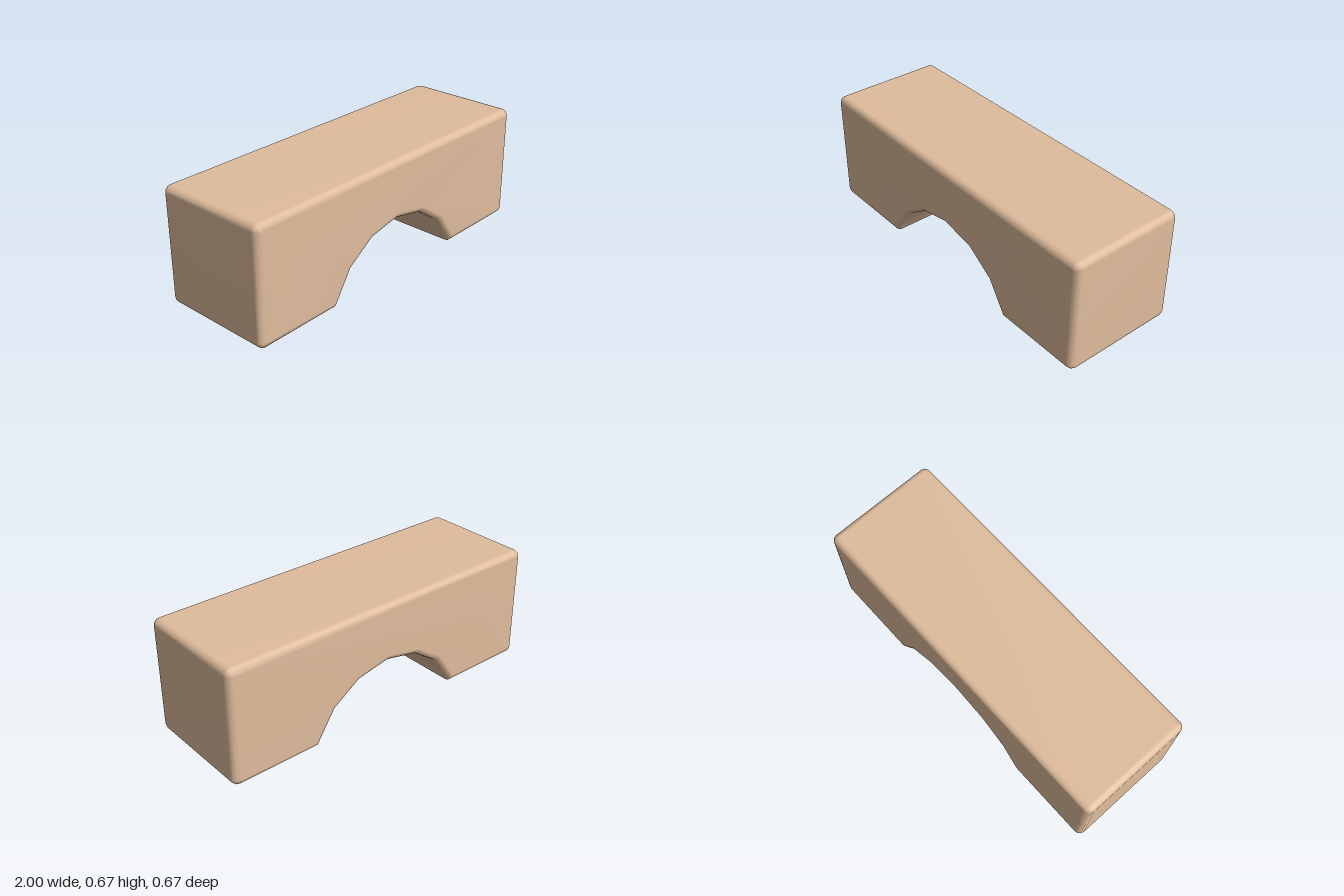
import * as THREE from 'three';

const WIDTH = 2, HEIGHT = 0.667, DEPTH = 0.667, BEVEL = 0.035, RADIUS = 0.037;

// Smooth normals weighted by face area, with edges sharper than the limit kept hard
function smoothByAngle(source, limit) {
  const geometry = source.toNonIndexed();
  const pos = geometry.attributes.position;
  const corners = new Map(), faces = [], normals = [];
  const p = [0, 1, 2].map(() => new THREE.Vector3());
  const key = (i) => [pos.getX(i), pos.getY(i), pos.getZ(i)].map((v) => Math.round(v * 1e4)).join();
  for (let i = 0; i < pos.count; i += 3) {
    p.forEach((v, k) => v.fromBufferAttribute(pos, i + k));
    const area = p[1].clone().sub(p[0]).cross(p[2].clone().sub(p[0]));
    const face = { area, dir: area.clone().normalize() };
    faces.push(face);
    for (let k = 0; k < 3; k++) {
      const id = key(i + k);
      if (!corners.has(id)) corners.set(id, []);
      corners.get(id).push(face);
    }
  }
  for (let i = 0; i < pos.count; i++) {
    const own = faces[Math.floor(i / 3)], n = new THREE.Vector3();
    for (const f of corners.get(key(i))) if (f.dir.dot(own.dir) > Math.cos(limit)) n.add(f.area);
    normals.push(...n.normalize().toArray());
  }
  geometry.setAttribute('normal', new THREE.Float32BufferAttribute(normals, 3));
  return geometry;
}

// Outline of the block: rounded outer corners and a faceted arch cut from below
function blockOutline() {
  const points = [];
  const corner = (x, y, start) => {
    for (let i = 0; i <= 3; i++) {
      const a = start + (i / 3) * Math.PI / 2;
      points.push(new THREE.Vector2(x + RADIUS * Math.cos(a), y + RADIUS * Math.sin(a)));
    }
  };
  const x = WIDTH / 2 - RADIUS, top = HEIGHT - RADIUS;
  corner(x, RADIUS, -Math.PI / 2);
  corner(x, top, 0);
  corner(-x, top, Math.PI / 2);
  corner(-x, RADIUS, Math.PI);
  const half = [[0.475, 0], [0.36, 0.18], [0.2, 0.288]];
  half.forEach(([px, py]) => points.push(new THREE.Vector2(-px, py)));
  points.push(new THREE.Vector2(0, 0.328));
  half.reverse().forEach(([px, py]) => points.push(new THREE.Vector2(px, py)));
  return new THREE.Shape(points);
}

export function createModel() {
  const group = new THREE.Group();
  group.name = 'archBlockModel';

  // Wooden arch block with rounded front and back rims
  const depth = DEPTH - 2 * BEVEL;
  const geometry = new THREE.ExtrudeGeometry(blockOutline(), {
    depth, bevelEnabled: true, bevelThickness: BEVEL, bevelSize: BEVEL,
    bevelOffset: -BEVEL, bevelSegments: 3,
  });
  geometry.translate(0, 0, -depth / 2);
  const block = new THREE.Mesh(
    smoothByAngle(geometry, 0.8),
    new THREE.MeshStandardMaterial({ color: 0xdfbc9c }),
  );
  block.name = 'archBlock';
  group.add(block);
  return group;
}
